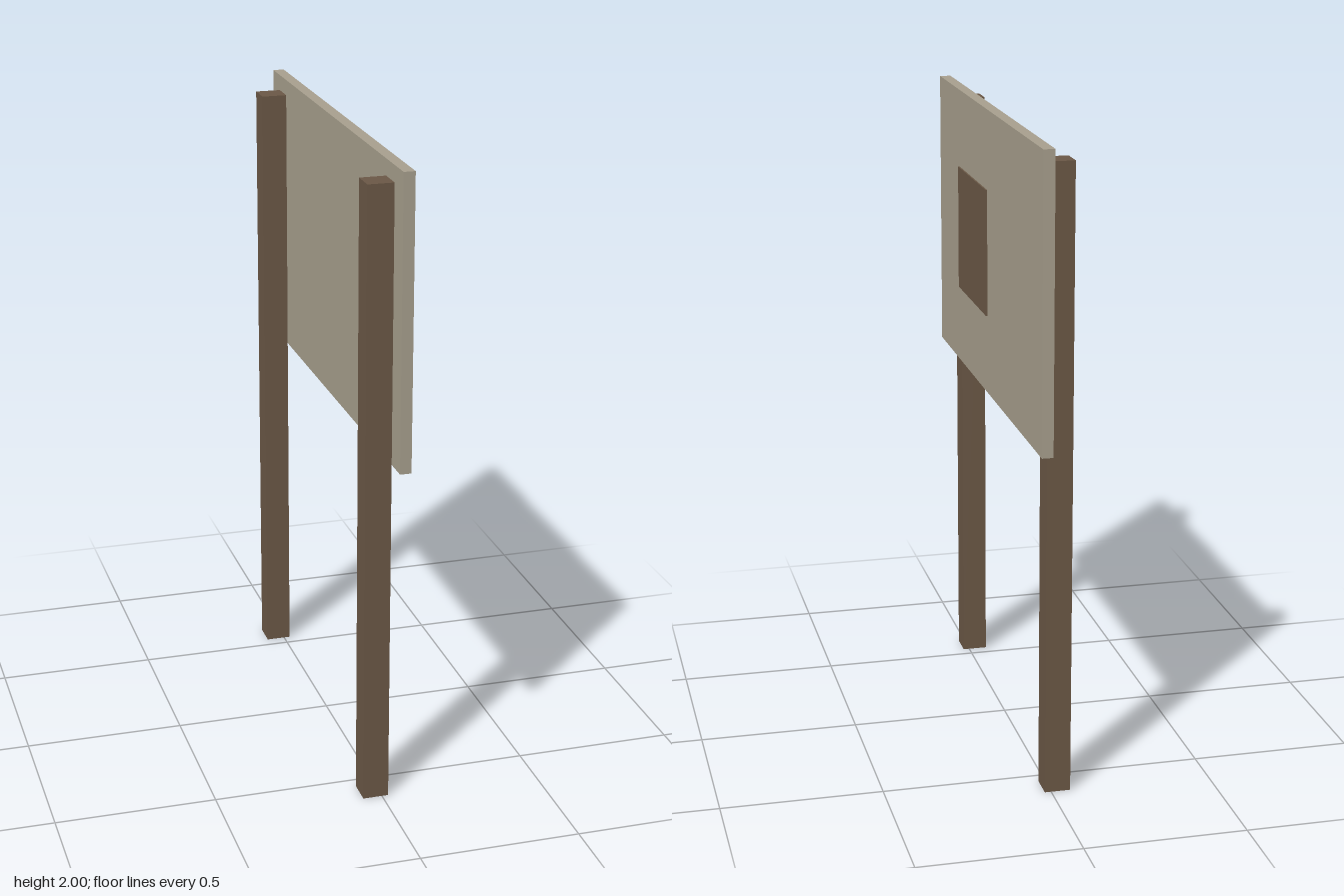
import * as THREE from 'three';

export function createModel() {
  const model = new THREE.Group();
  model.name = 'noticeBoard';

  const wood = new THREE.MeshStandardMaterial({ color: 0x6b5846 });
  wood.name = 'dark wood';
  const board = new THREE.MeshStandardMaterial({ color: 0xa8a08e });
  board.name = 'pale board';

  // Box given by its minimum and maximum corners
  function addBox(name, material, min, max) {
    const size = max.map((v, i) => v - min[i]);
    const mesh = new THREE.Mesh(new THREE.BoxGeometry(...size), material);
    mesh.position.set(...max.map((v, i) => (v + min[i]) / 2));
    mesh.name = name;
    model.add(mesh);
  }

  // Two square posts behind the board
  for (const [name, z] of [['frontPost', 0.58], ['backPost', -0.58]]) {
    addBox(name, wood, [-0.06, 0, z - 0.04], [0.02, 1.95, z + 0.04]);
  }

  // Board facing +x, with a thin square notice on it
  addBox('boardPanel', board, [0.02, 1.1, -0.7], [0.055, 2, 0.7]);
  addBox('notice', wood, [0.055, 1.35, 0], [0.06, 1.75, 0.4]);

  return model;
}
